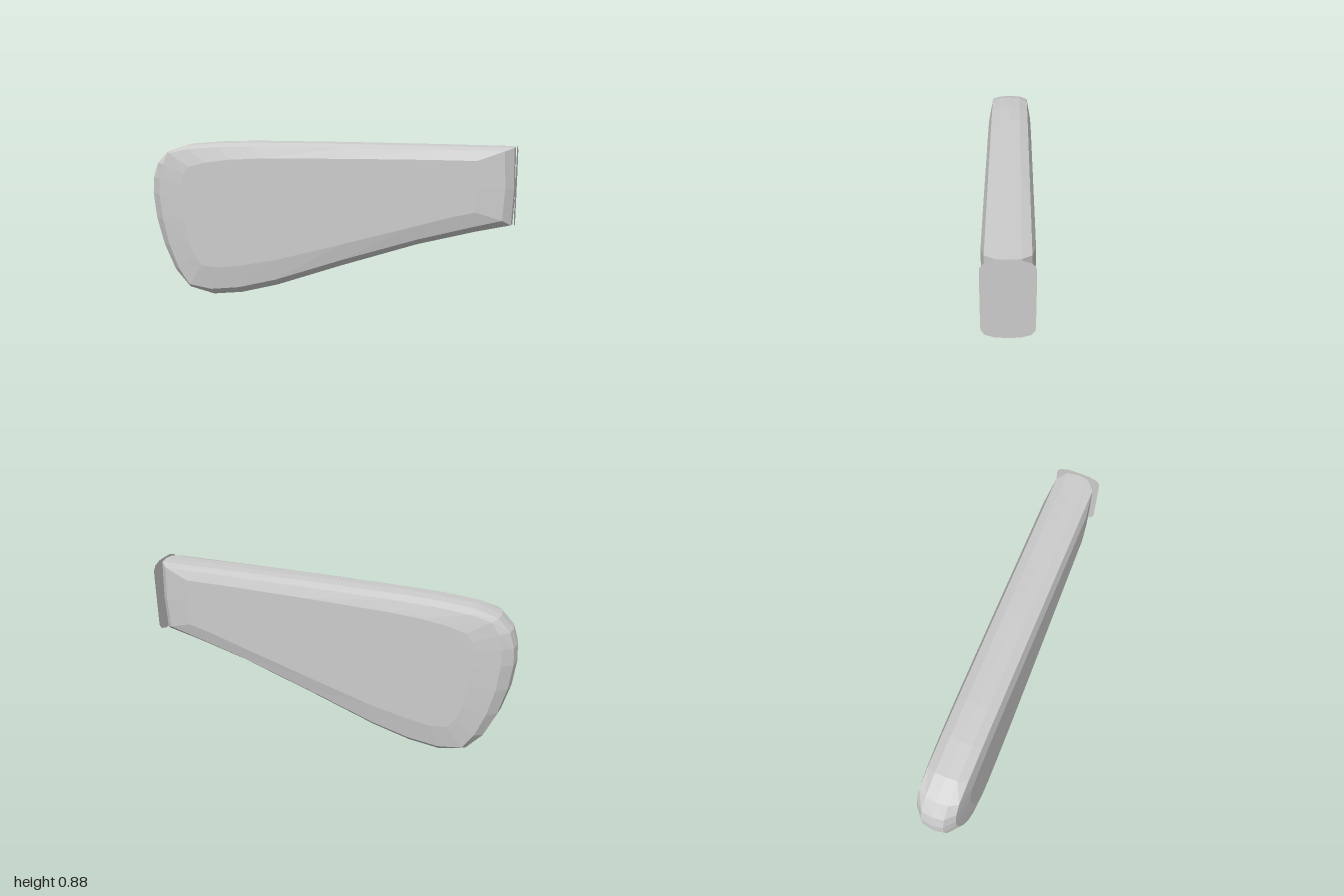
import * as THREE from 'three';

const material = new THREE.MeshStandardMaterial({ color: 0xcccccc, flatShading: true, side: THREE.DoubleSide });

// Matching outlines (x, y), counter-clockwise from the top right corner.
const rim = [
  [0.99, 0.875], [0.6, 0.878], [0.1, 0.88], [-0.4, 0.878], [-0.6, 0.871], [-0.78, 0.855],
  [-0.9, 0.815], [-0.965, 0.75], [-0.993, 0.67], [-1, 0.58], [-0.985, 0.44], [-0.945, 0.29], [-0.88, 0.14],
  [-0.79, 0.04], [-0.645, 0.003], [-0.48, 0.022], [-0.27, 0.078], [0.1, 0.21], [0.5, 0.345], [0.8, 0.425],
  [0.99, 0.468], [0.998, 0.66],
];
const shoulder = [
  [0.935, 0.86], [0.6, 0.861], [0.1, 0.86], [-0.4, 0.856], [-0.58, 0.85], [-0.76, 0.835],
  [-0.87, 0.81], [-0.91, 0.75], [-0.93, 0.67], [-0.935, 0.58], [-0.92, 0.44], [-0.885, 0.29], [-0.835, 0.16],
  [-0.775, 0.07], [-0.645, 0.05], [-0.48, 0.07], [-0.27, 0.125], [0.1, 0.255], [0.5, 0.385], [0.77, 0.46],
  [0.935, 0.503], [0.945, 0.67],
];
const face = [
  [0.8, 0.81], [0.56, 0.81], [0.1, 0.805], [-0.35, 0.795], [-0.52, 0.785], [-0.66, 0.765],
  [-0.75, 0.74], [-0.785, 0.7], [-0.8, 0.64], [-0.8, 0.56], [-0.79, 0.45], [-0.765, 0.33], [-0.73, 0.24],
  [-0.69, 0.19], [-0.6, 0.18], [-0.46, 0.2], [-0.25, 0.245], [0.1, 0.345], [0.46, 0.45], [0.66, 0.51],
  [0.8, 0.545], [0.81, 0.67],
];

const blend = (a, b, t) => a.map((p, i) => [p[0] + (b[i][0] - p[0]) * t, p[1] + (b[i][1] - p[1]) * t]);

// Stacks the outlines from the back face to the front face and caps both ends.
function paddleGeometry() {
  const half = [[rim, 0], [blend(rim, shoulder, 0.16), 0.058], [shoulder, 0.103], [face, 0.122]];
  const layers = [...half.slice(1).reverse().map(([o, z]) => [o, -z]), ...half];
  const n = rim.length;
  const positions = [];
  const index = [];
  for (const [outline, z] of layers) for (const [x, y] of outline) positions.push(x, y, z);
  for (let k = 0; k < layers.length - 1; k++) {
    for (let i = 0; i < n; i++) {
      const j = (i + 1) % n;
      const a = k * n + i, b = k * n + j;
      index.push(a, b, b + n, a, b + n, a + n);
    }
  }
  const last = (layers.length - 1) * n;
  const caps = THREE.ShapeUtils.triangulateShape(face.map(([x, y]) => new THREE.Vector2(x, y)), []);
  for (const [a, b, c] of caps) index.push(last + a, last + b, last + c, a, c, b);
  const geometry = new THREE.BufferGeometry();
  geometry.setAttribute('position', new THREE.Float32BufferAttribute(positions, 3));
  geometry.setIndex(index);
  geometry.computeVertexNormals();
  return geometry;
}

// Thin plate with softened corners, turned to face +x.
function plateGeometry() {
  const quarter = [[0.122, 0.145], [0.12, 0.165], [0.103, 0.19], [0.058, 0.205], [0, 0.2075]];
  const top = [...quarter, ...quarter.slice(0, 4).reverse().map(([x, y]) => [-x, y])];
  const points = [...top, ...top.map(([x, y]) => [-x, -y])].map(([x, y]) => new THREE.Vector2(x, y));
  return new THREE.ShapeGeometry(new THREE.Shape(points)).rotateY(Math.PI / 2);
}

export function createModel() {
  const model = new THREE.Group();
  model.name = 'paddle';

  const body = new THREE.Mesh(paddleGeometry(), material);
  body.name = 'body';
  model.add(body);

  const plate = new THREE.Mesh(plateGeometry(), material);
  plate.name = 'endPlate';
  plate.position.set(1, 0.6725, 0);
  model.add(plate);

  return model;
}
